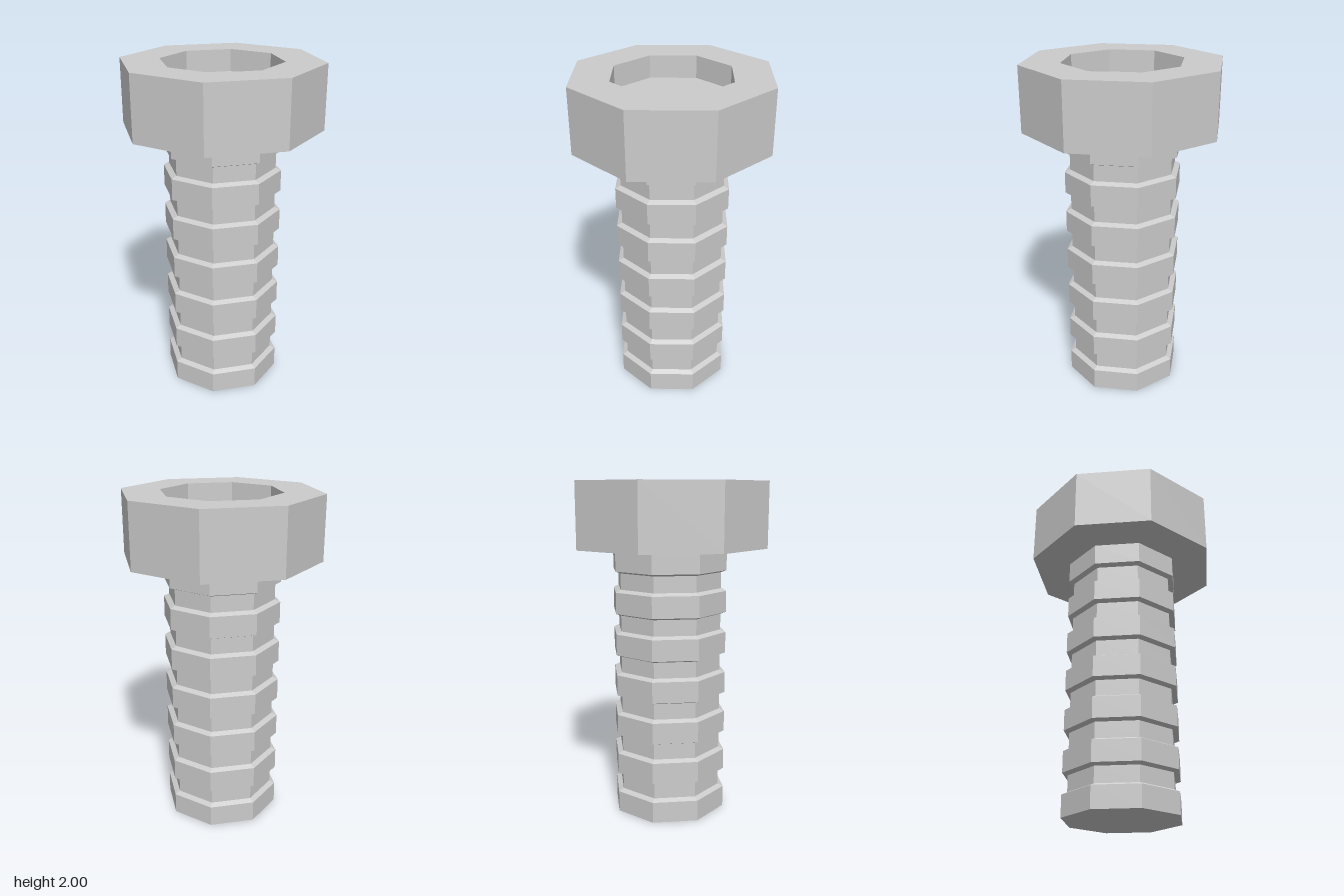
import * as THREE from 'three';

const SIDES = 8;
const material = new THREE.MeshStandardMaterial({ color: 0xcccccc, flatShading: true });

// Octagonal turned part; profile is [flat-to-centre distance, height], bottom to top
function turned(name, profile) {
  const toCorner = 1 / Math.cos(Math.PI / SIDES);
  const points = profile.map(([r, y]) => new THREE.Vector2(r * toCorner, y));
  const mesh = new THREE.Mesh(new THREE.LatheGeometry(points, SIDES, Math.PI / SIDES), material);
  mesh.name = name;
  return mesh;
}

export function createModel() {
  const group = new THREE.Group();
  group.name = 'bolt';

  const headBottom = 1.62, ridge = 0.326, groove = 0.296;

  // Shank: closed bottom, then six grooves between the ridges
  const shank = [[0, 0], [ridge, 0]];
  const pitch = 0.248;
  for (let i = 0; i < 6; i++) {
    const y = i * pitch;
    shank.push([ridge, y + 0.128], [groove, y + 0.143], [groove, y + 0.238], [ridge, y + 0.25]);
  }
  shank.push([ridge, headBottom]);
  group.add(turned('threadedShank', shank));

  // Head: underside, outer wall, rim, socket wall and socket floor
  group.add(turned('head', [
    [ridge, headBottom], [0.545, headBottom], [0.545, 2],
    [0.33, 2], [0.33, 1.867], [0, 1.867],
  ]));

  return group;
}
